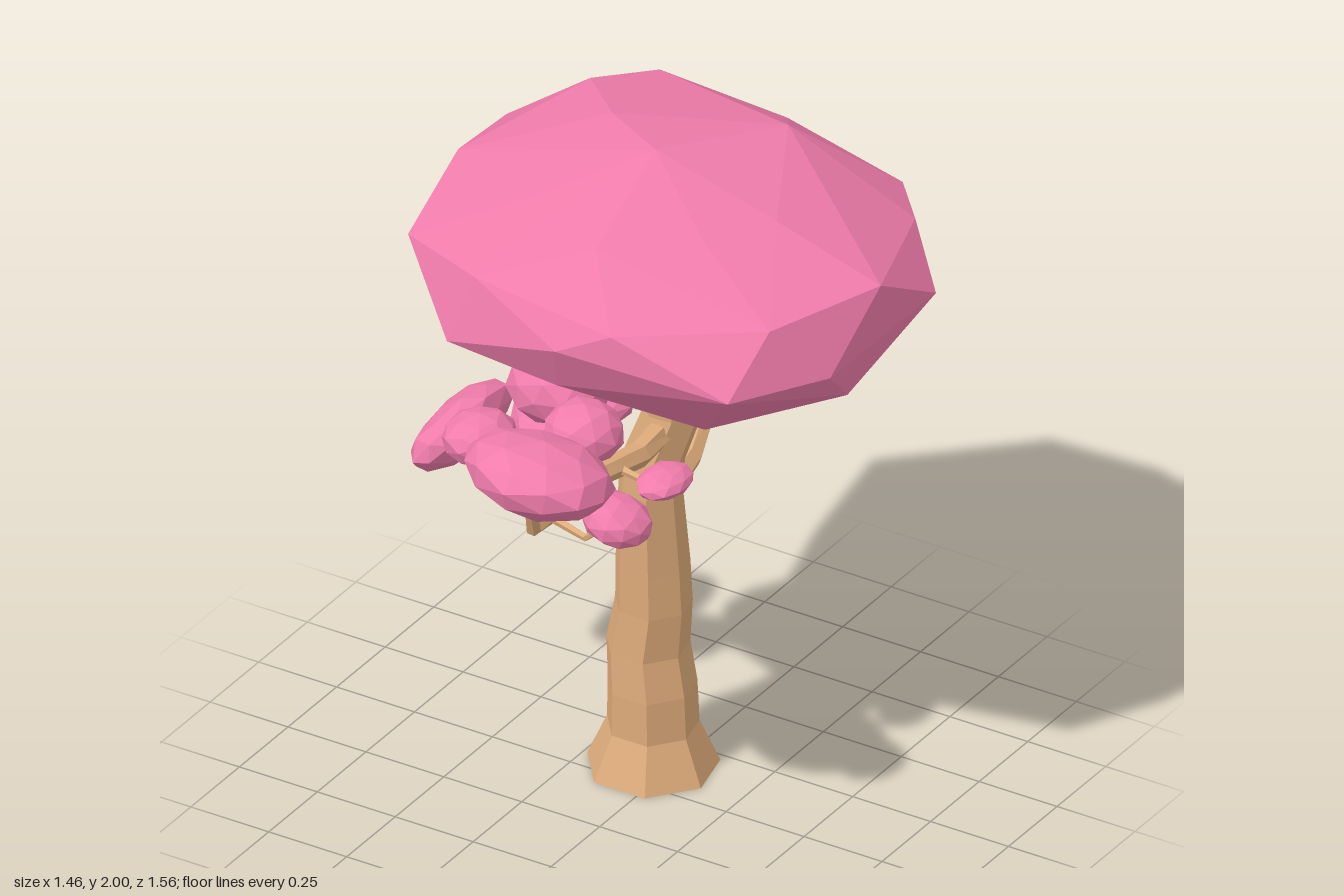
import * as THREE from 'three';
import { ConvexGeometry } from 'three/addons/geometries/ConvexGeometry.js';

const wood = new THREE.MeshStandardMaterial({ color: 0xdeab7b, flatShading: true });
const pink = new THREE.MeshStandardMaterial({ color: 0xf07cab, flatShading: true });
const UP = new THREE.Vector3(0, 1, 0);

// Faceted limb through stations [x, y, z, radius]; level keeps every ring horizontal.
function limb(name, stations, sides, level = false) {
  const centres = stations.map(([x, y, z]) => new THREE.Vector3(x, y, z));
  const last = centres.length - 1;
  const pos = [], idx = [];
  centres.forEach((c, i) => {
    const dir = centres[Math.min(i + 1, last)].clone().sub(centres[Math.max(i - 1, 0)]).normalize();
    const turn = new THREE.Quaternion().setFromUnitVectors(UP, level ? UP : dir);
    for (let j = 0; j < sides; j++) {
      const a = ((j + 0.5) / sides) * Math.PI * 2, r = stations[i][3];
      const p = new THREE.Vector3(Math.sin(a) * r, 0, Math.cos(a) * r).applyQuaternion(turn).add(c);
      pos.push(p.x, p.y, p.z);
    }
  });
  const first = pos.length / 3;
  pos.push(...centres[0].toArray(), ...centres[last].toArray());
  for (let j = 0; j < sides; j++) {
    const k = (j + 1) % sides;
    for (let i = 0; i < last; i++) {
      const a = i * sides + j, b = i * sides + k;
      idx.push(a, b, b + sides, a, b + sides, a + sides);
    }
    idx.push(k, j, first, last * sides + j, last * sides + k, first + 1);
  }
  const geo = new THREE.BufferGeometry();
  geo.setAttribute('position', new THREE.Float32BufferAttribute(pos, 3));
  geo.setIndex(idx);
  geo.computeVertexNormals();
  const mesh = new THREE.Mesh(geo, wood);
  mesh.name = name;
  return mesh;
}

// Slightly irregular faceted ellipsoid of leaves.
function leafClump(name, centre, radii, tilt, spin) {
  const geo = new THREE.IcosahedronGeometry(1.03, 1);
  geo.rotateY(spin);
  const p = geo.attributes.position, v = new THREE.Vector3();
  for (let i = 0; i < p.count; i++) {
    v.fromBufferAttribute(p, i);
    const bump = 1 + 0.04 * Math.sin(v.x * 5 + v.y * 3 + spin * 7) * Math.cos(v.z * 4 - v.y * 2);
    v.multiplyScalar(bump);
    p.setXYZ(i, v.x * radii[0], v.y * radii[1], v.z * radii[2]);
  }
  geo.computeVertexNormals();
  const mesh = new THREE.Mesh(geo, pink);
  mesh.position.set(...centre);
  mesh.rotation.set(tilt[0], 0, tilt[1]);
  mesh.name = name;
  return mesh;
}

export function createModel() {
  const tree = new THREE.Group();
  tree.name = 'tree';

  // Trunk with flared foot
  tree.add(limb('trunk', [
    [-0.056, 0, -0.11, 0.187], [-0.056, 0.13, -0.11, 0.13], [-0.057, 0.26, -0.108, 0.126],
    [-0.07, 0.38, -0.108, 0.118], [-0.05, 0.52, -0.105, 0.109], [-0.05, 0.65, -0.1, 0.105],
    [-0.045, 0.9, -0.08, 0.09], [-0.04, 0.98, -0.085, 0.09], [0.015, 1.15, -0.112, 0.085],
    [0.05, 1.34, -0.072, 0.05], [0.06, 1.45, -0.07, 0.04],
  ], 7, true));

  // Main branches
  tree.add(
    limb('rightBranch', [[-0.06, 0.745, -0.1, 0.04], [-0.17, 0.785, -0.1, 0.036], [-0.3, 0.83, -0.1, 0.028],
      [-0.45, 0.838, -0.08, 0.022], [-0.63, 0.85, -0.06, 0.015]], 6),
    limb('frontBranch', [[0.0, 1.1, -0.1, 0.042], [0.02, 1.1, 0.08, 0.037], [0.0, 1.125, 0.28, 0.032],
      [-0.01, 1.11, 0.5, 0.026], [0.0, 1.12, 0.59, 0.023], [0.02, 1.22, 0.64, 0.016]], 6),
    limb('backBranch', [[-0.02, 0.87, -0.1, 0.042], [-0.03, 0.91, -0.26, 0.038], [-0.07, 1.0, -0.43, 0.03],
      [-0.11, 1.09, -0.54, 0.025], [-0.13, 1.16, -0.61, 0.018]], 6),
  );

  // Twigs: points along each path
  const twigs = [
    [[-0.36, 0.84, -0.1], [-0.37, 0.92, -0.12], [-0.36, 1.01, -0.14]],
    [[-0.49, 0.84, -0.07], [-0.49, 0.9, 0.02], [-0.485, 0.98, 0.07]],
    [[0.0, 1.11, 0.5], [0.13, 1.1, 0.53], [0.22, 1.18, 0.54]],
    [[0.0, 1.12, 0.3], [0.0, 1.17, 0.33], [0.0, 1.25, 0.33]],
    [[0.01, 1.11, 0.14], [-0.13, 1.1, 0.12], [-0.2, 1.2, 0.1]],
    [[0.01, 1.11, 0.18], [0.1, 1.11, 0.2], [0.19, 1.14, 0.22]],
    [[-0.06, 0.99, -0.4], [-0.06, 1.06, -0.37], [-0.06, 1.14, -0.35]],
    [[-0.1, 1.07, -0.52], [-0.16, 1.1, -0.49], [-0.22, 1.12, -0.46]],
  ];
  twigs.forEach((path, i) =>
    tree.add(limb(`twig${i + 1}`, path.map((p, k) => [...p, 0.014 - k * 0.003]), 5)));

  // Small leaf clumps: centre, radii, tilt about x and z
  const clumps = [
    [[0.025, 1.305, 0.605], [0.213, 0.1, 0.178], [-0.15, -0.1]],
    [[0.235, 1.197, 0.54], [0.103, 0.062, 0.095], [0, -0.25]],
    [[0.0, 1.295, 0.33], [0.11, 0.085, 0.11], [0, 0]],
    [[-0.22, 1.26, 0.1], [0.15, 0.108, 0.13], [0, 0.1]],
    [[0.19, 1.142, 0.22], [0.07, 0.037, 0.095], [0, 0]],
    [[-0.135, 1.227, -0.615], [0.183, 0.122, 0.167], [-0.2, 0]],
    [[-0.06, 1.16, -0.35], [0.095, 0.06, 0.1], [0, 0]],
    [[-0.22, 1.12, -0.46], [0.075, 0.042, 0.065], [0, 0.1]],
    [[-0.637, 0.915, -0.06], [0.075, 0.13, 0.205], [0, -0.61]],
    [[-0.485, 1.005, 0.09], [0.1, 0.071, 0.11], [0, 0]],
    [[-0.33, 1.03, -0.14], [0.17, 0.062, 0.19], [0, 0.2]],
  ];
  clumps.forEach(([centre, radii, tilt], i) =>
    tree.add(leafClump(`leafClump${i + 1}`, centre, radii, tilt, i * 0.7)));

  // Large crown, a convex hull of its corners
  const corners = [
    // upper
    [0, 2, -0.04], [0.2, 1.96, -0.4], [0.4, 1.91, -0.02], [-0.24, 1.96, -0.2], [-0.26, 1.885, 0.19],
    [0.05, 1.9, 0.35], [0.28, 1.91, 0.17], [-0.46, 1.88, -0.44],
    // rim
    [0, 1.76, -0.715], [0.43, 1.74, -0.62], [0.57, 1.75, -0.46], [0.73, 1.64, -0.31], [0.715, 1.79, -0.05],
    [0.69, 1.6, 0.17], [0.57, 1.77, 0.29], [0.545, 1.62, 0.465], [0.21, 1.76, 0.53], [0.06, 1.69, 0.575],
    [-0.24, 1.8, 0.51], [-0.3, 1.6, 0.555], [-0.54, 1.77, 0.37], [-0.61, 1.83, 0], [-0.685, 1.73, -0.37],
    [-0.35, 1.85, -0.62],
    // lower
    [0.67, 1.48, 0.05], [0.3, 1.35, -0.14], [0, 1.36, -0.15], [-0.33, 1.4, 0.1], [-0.59, 1.57, -0.1],
    [0.35, 1.38, 0.27], [0.12, 1.46, 0.36], [-0.41, 1.47, 0.3], [0.02, 1.54, 0.51], [0.38, 1.46, -0.51],
    [-0.2, 1.47, -0.5], [0, 1.63, -0.685], [-0.5, 1.55, -0.4],
  ];
  const crown = new THREE.Mesh(new ConvexGeometry(corners.map((c) => new THREE.Vector3(...c))), pink);
  crown.name = 'crown';
  tree.add(crown);
  return tree;
}
